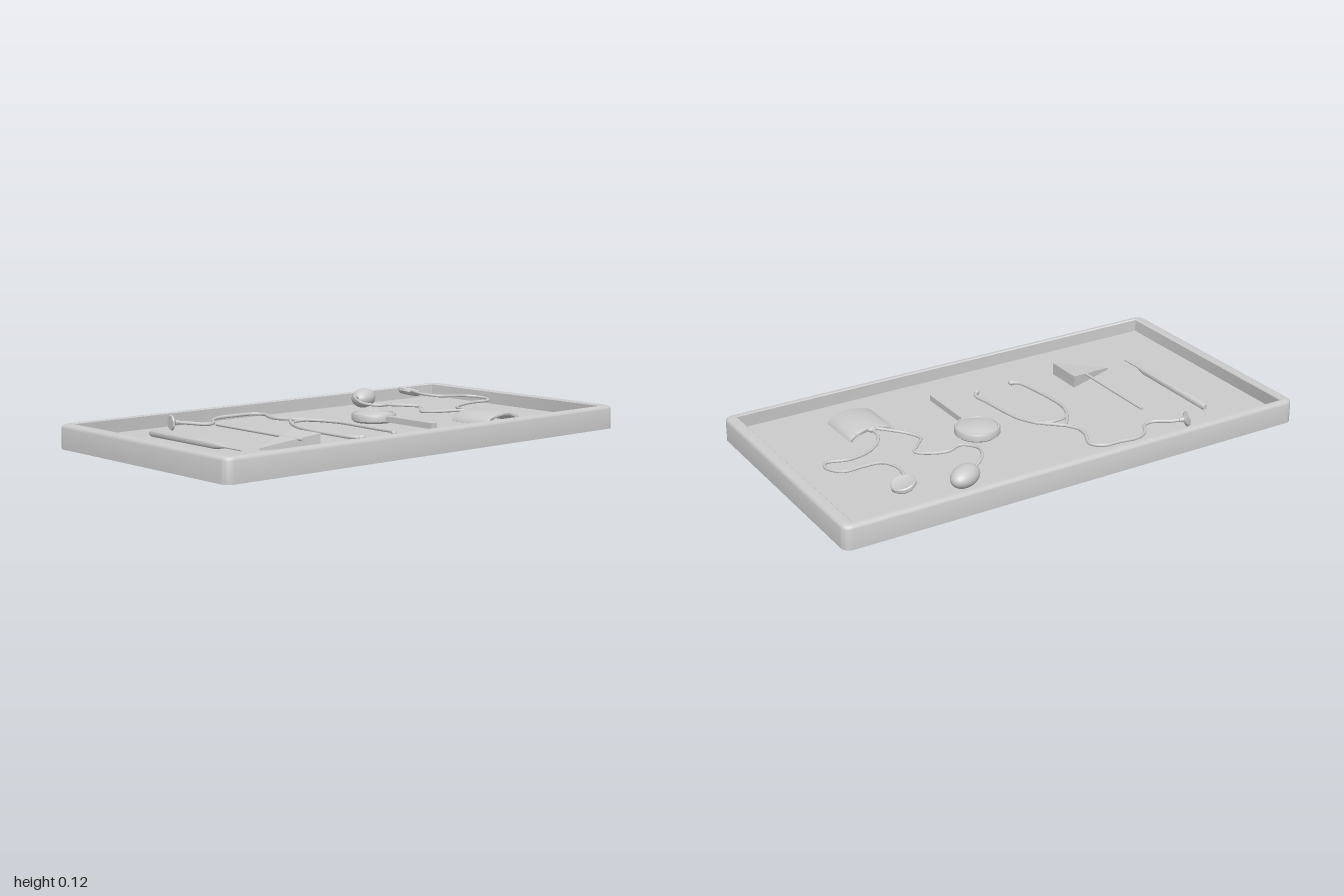
import * as THREE from 'three';
import { toCreasedNormals } from 'three/addons/utils/BufferGeometryUtils.js';

const FLOOR = 0.04;
const material = new THREE.MeshStandardMaterial({ color: 0xcccccc, side: THREE.DoubleSide });

function add(parent, name, geometry, x = 0, y = 0, z = 0) {
  const mesh = new THREE.Mesh(geometry, material);
  mesh.name = name;
  mesh.position.set(x, y, z);
  parent.add(mesh);
  return mesh;
}

function group(parent, name) {
  const g = new THREE.Group();
  g.name = name;
  parent.add(g);
  return g;
}

// Smooth hose through [x, y, z] points
function hose(parent, name, points, radius = 0.006) {
  const curve = new THREE.CatmullRomCurve3(points.map((p) => new THREE.Vector3(...p)));
  const steps = points.length * 8;
  return add(parent, name, new THREE.TubeGeometry(curve, steps, radius, 8, false));
}

// Turned part from [radius, height] points
const lathe = (profile, segments = 32) => toCreasedNormals(
  new THREE.LatheGeometry(profile.map(([r, h]) => new THREE.Vector2(r, h)), segments), 0.6);

// One rounded rectangular ring of the tray wall
function ring(hx, hz, r, y) {
  const points = [];
  const signs = [[1, 1], [-1, 1], [-1, -1], [1, -1]];
  signs.forEach(([sx, sz], q) => {
    for (let i = 0; i <= 6; i++) {
      const a = (q + i / 6) * Math.PI / 2;
      points.push([sx * (hx - r) + r * Math.cos(a), y, sz * (hz - r) + r * Math.sin(a)]);
    }
  });
  return points;
}

// Tray skin: underside, outer wall, rounded rim, inner wall, floor
function trayGeometry() {
  const rings = [
    ring(0.002, 0.002, 0.001, 0), ring(1, 0.527, 0.035, 0), ring(1, 0.527, 0.035, 0.08),
    ring(0.997, 0.524, 0.033, 0.088), ring(0.991, 0.518, 0.03, 0.093), ring(0.983, 0.511, 0.026, 0.095),
    ring(0.957, 0.501, 0.003, 0.095), ring(0.953, 0.497, 0.002, 0.091),
    ring(0.953, 0.497, 0.002, FLOOR), ring(0.002, 0.002, 0.001, FLOOR),
  ];
  const n = rings[0].length, index = [];
  for (let k = 0; k < rings.length - 1; k++) {
    for (let i = 0; i < n; i++) {
      const a = k * n + i, b = k * n + (i + 1) % n;
      index.push(a, a + n, b, b, a + n, b + n);
    }
  }
  const g = new THREE.BufferGeometry();
  g.setAttribute('position', new THREE.Float32BufferAttribute(rings.flat(2), 3));
  g.setIndex(index);
  return toCreasedNormals(g, 0.6);
}

// Pen-like probe with a tapered nose and thin tip
function buildProbe(root) {
  const profile = [[0, 0], [0.01, 0.002], [0.014, 0.012], [0.014, 0.41], [0.006, 0.46],
    [0.004, 0.465], [0.004, 0.56], [0, 0.563]];
  add(root, 'probe', lathe(profile, 16), -0.71, FLOOR + 0.014, -0.33).rotation.x = Math.PI / 2;
}

// Hammer with a triangular head thinning towards its point
function buildHammer(root) {
  const g = group(root, 'hammer');
  const handle = new THREE.CylinderGeometry(0.006, 0.006, 0.52, 12);
  add(g, 'hammerHandle', handle, -0.463, 0.072, 0.02).rotation.x = Math.PI / 2;
  const shape = new THREE.Shape();
  shape.moveTo(-0.61, -0.21);
  shape.lineTo(-0.385, -0.29);
  shape.lineTo(-0.385, -0.13);
  const head = new THREE.ExtrudeGeometry(shape, { depth: 0.05, bevelEnabled: false });
  head.rotateX(-Math.PI / 2);
  const p = head.attributes.position;
  for (let i = 0; i < p.count; i++) {
    if (p.getX(i) < -0.5 && p.getY(i) > 0.01) p.setY(i, 0.008);
  }
  head.computeVertexNormals();
  add(g, 'hammerHead', head, 0, FLOOR, 0);
}

// Listening instrument: chest disc, hose, yoke and two ear tubes
function buildStethoscope(root) {
  const g = group(root, 'stethoscope');
  const disc = lathe([[0, -0.012], [0.028, -0.012], [0.031, -0.006], [0.02, 0], [0.01, 0.008], [0.008, 0.025], [0, 0.025]], 24);
  const chest = add(g, 'chestPiece', disc, -0.553, 0.07, -0.402);
  chest.rotation.z = -Math.PI / 2;
  chest.rotation.y = -0.2;
  hose(g, 'mainHose', [[-0.54, 0.07, -0.4], [-0.5, 0.066, -0.38], [-0.44, 0.06, -0.335], [-0.4, 0.06, -0.345],
    [-0.36, 0.062, -0.4], [-0.31, 0.064, -0.428], [-0.23, 0.066, -0.424], [-0.15, 0.066, -0.415],
    [-0.12, 0.066, -0.375], [-0.15, 0.066, -0.3], [-0.155, 0.066, -0.25], [-0.128, 0.066, -0.195]], 0.007);
  hose(g, 'leftBranch', [[-0.128, 0.066, -0.195], [-0.09, 0.064, -0.155], [-0.045, 0.062, -0.105]], 0.007);
  hose(g, 'rightBranch', [[-0.128, 0.066, -0.195], [-0.165, 0.064, -0.15], [-0.2, 0.062, -0.095]], 0.007);
  hose(g, 'spring', [[-0.2, 0.062, -0.095], [-0.165, 0.064, -0.13], [-0.12, 0.065, -0.14],
    [-0.075, 0.064, -0.13], [-0.045, 0.062, -0.105]]);
  hose(g, 'rightEarTube', [[-0.2, 0.062, -0.095], [-0.222, 0.06, -0.03], [-0.225, 0.057, 0.06],
    [-0.216, 0.054, 0.18], [-0.2, 0.052, 0.265], [-0.174, 0.052, 0.287]], 0.007);
  hose(g, 'leftEarTube', [[-0.045, 0.062, -0.105], [-0.012, 0.06, -0.03], [0, 0.057, 0.06],
    [0.008, 0.054, 0.17], [0.014, 0.052, 0.255], [-0.013, 0.052, 0.283]], 0.007);
  [[-0.178, 0.285, 1.1], [-0.007, 0.28, -0.9]].forEach(([x, z, turn]) => {
    const tip = add(g, 'earTip', new THREE.SphereGeometry(0.011, 12, 8), x, 0.052, z);
    tip.scale.z = 1.4;
    tip.rotation.y = turn;
  });
}

// Round mirror with a raised rim, domed face and bar handle
function buildMirror(root) {
  const g = group(root, 'handMirror');
  const profile = [[0, 0], [0.08, 0], [0.09, 0.008], [0.091, 0.028], [0.087, 0.036], [0.081, 0.036],
    [0.079, 0.031], [0.06, 0.037], [0.035, 0.042], [0, 0.044]];
  add(g, 'mirrorDisc', lathe(profile, 40), 0.18, FLOOR + 0.005, -0.04);
  add(g, 'mirrorHandle', new THREE.BoxGeometry(0.03, 0.024, 0.265), 0.18, 0.064, 0.178);
}

// Arched cuff with two hoses leading to a squeeze bulb and a dial
function buildPressureSet(root) {
  const g = group(root, 'pressureSet');
  const arch = new THREE.Shape();
  arch.moveTo(-0.1, 0);
  arch.bezierCurveTo(-0.085, 0.055, 0.085, 0.055, 0.1, 0.006);
  arch.lineTo(0.09, 0.002);
  arch.bezierCurveTo(0.07, 0.042, -0.07, 0.042, -0.09, -0.002);
  const cuff = new THREE.ExtrudeGeometry(arch, {
    depth: 0.184, curveSegments: 20, bevelThickness: 0.004, bevelSize: 0.002, bevelSegments: 2,
  });
  add(g, 'cuff', toCreasedNormals(cuff, 0.7), 0.538, FLOOR + 0.003, 0.152);
  add(g, 'hoseFitting', new THREE.SphereGeometry(0.02, 16, 10), 0.54, 0.077, 0.153).scale.y = 0.6;

  hose(g, 'bulbHose', [[0.53, 0.079, 0.15], [0.475, 0.075, 0.1], [0.425, 0.07, 0.045], [0.41, 0.068, 0],
    [0.45, 0.07, -0.05], [0.49, 0.072, -0.1], [0.45, 0.075, -0.145], [0.385, 0.08, -0.175],
    [0.325, 0.084, -0.16], [0.287, 0.09, -0.22], [0.305, 0.098, -0.285], [0.345, 0.1, -0.34], [0.38, 0.092, -0.36]]);
  hose(g, 'dialHose', [[0.545, 0.079, 0.15], [0.545, 0.077, 0.1], [0.575, 0.074, 0.04], [0.645, 0.072, -0.01],
    [0.73, 0.074, -0.03], [0.82, 0.078, -0.017], [0.842, 0.082, -0.065], [0.805, 0.087, -0.13],
    [0.73, 0.092, -0.14], [0.66, 0.096, -0.155], [0.632, 0.1, -0.22], [0.645, 0.104, -0.305], [0.655, 0.1, -0.33]]);

  const bulb = add(g, 'squeezeBulb', new THREE.SphereGeometry(1, 32, 20), 0.438, 0.084, -0.388);
  bulb.scale.set(0.073, 0.041, 0.048);
  bulb.rotation.y = 0.5;
  const dial = add(g, 'dial', lathe([[0, -0.012], [0.04, -0.012], [0.048, -0.004], [0.048, 0.008],
    [0.044, 0.012], [0.04, 0.01], [0, 0.012]]), 0.672, 0.095, -0.35);
  dial.rotation.z = -0.27;
}

export function createModel() {
  const root = new THREE.Group();
  root.name = 'instrumentTray';
  add(root, 'tray', trayGeometry());
  buildProbe(root);
  buildHammer(root);
  buildStethoscope(root);
  buildMirror(root);
  buildPressureSet(root);
  return root;
}
